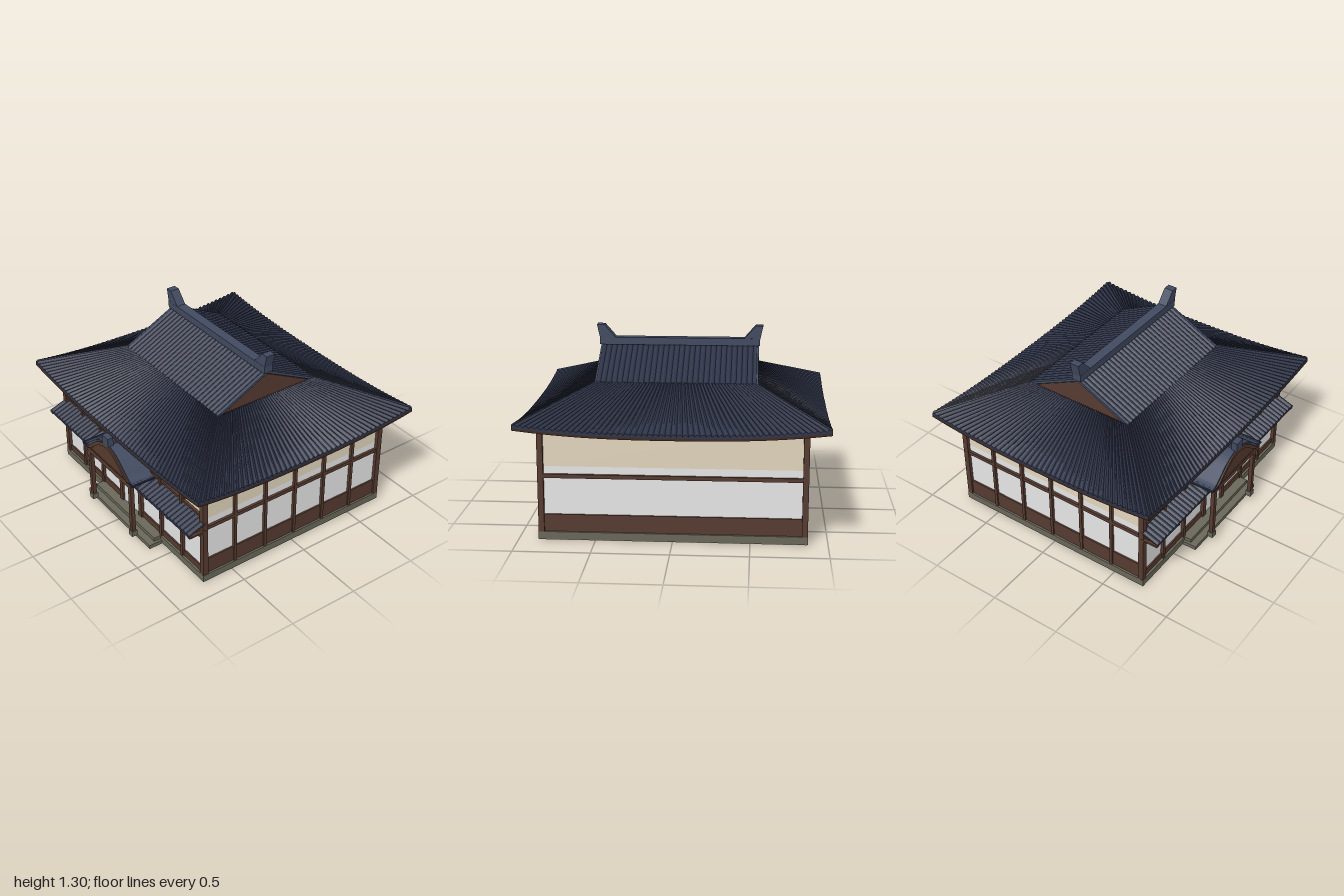
import * as THREE from 'three';

const mat = (name, color, extra = {}) => Object.assign(new THREE.MeshStandardMaterial({ color, ...extra }), { name });
const M = {
  tile: mat('roof tile', 0x2f3549, { flatShading: true, side: THREE.DoubleSide }),
  ridge: mat('ridge tile', 0x414a60),
  wood: mat('timber', 0x563b30),
  eave: mat('eave timber', 0x3e2822, { side: THREE.DoubleSide }),
  white: mat('white panel', 0xe8e8e8),
  cream: mat('cream plaster', 0xe2d6bd),
  stone: mat('stone', 0x6a685a),
};
const CZ = -0.02; // centre of the building in depth

export function createModel() {
  const root = new THREE.Group();
  root.name = 'hall';

  const add = (name, geo, material, parent = root) => {
    const m = new THREE.Mesh(geo, material);
    m.name = name;
    parent.add(m);
    return m;
  };
  // box given by its extents
  const box = (name, material, x0, x1, y0, y1, z0, z1, parent = root) => {
    const m = add(name, new THREE.BoxGeometry(x1 - x0, y1 - y0, z1 - z0), material, parent);
    m.position.set((x0 + x1) / 2, (y0 + y1) / 2, (z0 + z1) / 2);
    return m;
  };
  // surface f(u, t) with u across (-1..1) and t up the slope (0..1)
  const surface = (f, nu, nt) => {
    const pos = [], idx = [];
    for (let j = 0; j <= nt; j++) for (let i = 0; i <= nu; i++) pos.push(...f((2 * i) / nu - 1, j / nt));
    for (let j = 0; j < nt; j++) for (let i = 0; i < nu; i++) {
      const a = j * (nu + 1) + i, b = a + nu + 1;
      idx.push(a, a + 1, b, a + 1, b + 1, b);
    }
    const g = new THREE.BufferGeometry();
    g.setAttribute('position', new THREE.Float32BufferAttribute(pos, 3));
    g.setIndex(idx);
    g.computeVertexNormals();
    return g;
  };
  // ribbed tile surface, timber underside and eave edge
  const tiledSlope = (name, f, ribs, rib, thick, parent) => {
    const lift = (u) => rib * Math.abs(Math.sin(((u + 1) / 2) * ribs * Math.PI));
    const shift = (p, dy) => [p[0], p[1] + dy, p[2]];
    add(name + 'Tiles', surface((u, t) => shift(f(u, t), lift(u)), ribs * 6, 6), M.tile, parent);
    add(name + 'TileEnds', surface((u, t) => shift(f(u, 0), t * (lift(u) + 0.012) - 0.012), ribs * 6, 1), M.tile, parent);
    add(name + 'Underside', surface((u, t) => shift(f(u, t), -thick), 24, 6), M.eave, parent);
    add(name + 'Fascia', surface((u, t) => shift(f(u, 0), -thick + t * (thick - 0.01)), 24, 1), M.eave, parent);
  };
  const lerp = THREE.MathUtils.lerp;

  // Stone base and front steps
  box('basePlate', M.white, -0.865, 0.865, 0, 0.004, -0.765, 0.725);
  box('foundation', M.stone, -0.87, 0.87, 0.004, 0.055, -0.77, 0.73);
  box('lowerStep', M.stone, -0.39, 0.39, 0, 0.028, 0.73, 0.83);
  box('upperStep', M.stone, -0.37, 0.37, 0.028, 0.055, 0.73, 0.78);

  // Walls
  box('lowerWall', M.white, -0.845, 0.845, 0.055, 0.49, -0.745, 0.705);
  box('upperWall', M.cream, -0.845, 0.845, 0.49, 0.775, -0.745, 0.705);
  box('frontTransom', M.cream, -0.845, 0.845, 0.375, 0.49, 0.705, 0.708);

  // Skirting boards and rails on the sides and back
  for (const s of [-1, 1]) {
    const x = s * 0.85;
    box('sideSkirting', M.wood, x - 0.006, x + 0.006, 0.055, 0.17, -0.75, 0.71);
    box('sideRail', M.wood, x - 0.012, x + 0.012, 0.415, 0.441, -0.75, 0.71);
    for (let k = -2; k <= 2; k++) {
      const z = CZ + k * 0.245;
      box('sidePost', M.wood, x - 0.015, x + 0.015, 0.055, 0.78, z - 0.011, z + 0.011);
    }
    for (const z of [-0.75, 0.71])
      box('cornerPost', M.wood, x - 0.019, x + 0.019, 0.055, 0.79, z - 0.019, z + 0.019);
  }
  box('backSkirting', M.wood, -0.85, 0.85, 0.055, 0.17, -0.756, -0.744);
  box('backRail', M.wood, -0.85, 0.85, 0.415, 0.441, -0.762, -0.744);

  // Front framing
  for (const s of [-1, 1]) {
    const [a, b] = s < 0 ? [-0.85, -0.12] : [0.12, 0.85];
    box('frontSkirting', M.wood, a, b, 0.055, 0.1, 0.7, 0.715);
    box('frontRail', M.wood, a, b, 0.34, 0.375, 0.7, 0.72);
    for (const k of [0.5, 1.5, 2.5]) {
      const x = s * k * 0.246;
      box('frontPost', M.wood, x - 0.012, x + 0.012, 0.055, 0.78, 0.7, 0.726);
    }
    box('doorPost', M.wood, s * 0.117 - 0.017, s * 0.117 + 0.017, 0.055, 0.42, 0.7, 0.728);
  }
  box('frontHeadRail', M.wood, -0.85, 0.85, 0.41, 0.43, 0.7, 0.722);
  box('windowSill', M.wood, -0.85, 0.85, 0.51, 0.526, 0.7, 0.722);
  box('windowHead', M.wood, -0.85, 0.85, 0.68, 0.696, 0.7, 0.722);
  for (let i = -3; i <= 3; i++) for (const s of [-1, 1]) {
    const x = i * 0.246 + s * 0.104;
    box('windowStile', M.wood, x - 0.006, x + 0.006, 0.52, 0.69, 0.7, 0.714);
  }

  // Door
  box('door', M.white, -0.1, 0.1, 0.055, 0.295, 0.705, 0.712);
  box('doorLintel', M.wood, -0.11, 0.11, 0.295, 0.328, 0.7, 0.722);
  box('doorTransom', M.cream, -0.1, 0.1, 0.328, 0.41, 0.705, 0.711);

  // Pent roof across the front
  tiledSlope('pentRoof', (u, t) => [u * 0.87, lerp(0.438, 0.485, t), lerp(0.84, 0.71, t)], 46, 0.013, 0.012, root);
  for (let k = -3.5; k <= 3.5; k++)
    box('pentBracket', M.wood, k * 0.246 - 0.01, k * 0.246 + 0.01, 0.412, 0.424, 0.71, 0.835);

  // Main hipped skirt roof, one slope per side
  const roof = new THREE.Group();
  roof.name = 'mainRoof';
  roof.position.z = CZ;
  root.add(roof);
  for (let k = 0; k < 4; k++) {
    const slope = new THREE.Group();
    slope.name = ['front', 'left', 'back', 'right'][k] + 'Slope';
    slope.rotation.y = (k * Math.PI) / 2;
    roof.add(slope);
    const [E, T, D, Dt] = k % 2 ? [0.875, 0.395, 1, 0.535] : [1, 0.535, 0.875, 0.395];
    tiledSlope('skirt', (u, t) => [
      u * lerp(E, T, t),
      lerp(0.737 + 0.05 * Math.abs(u) ** 2.5, 0.965, t),
      lerp(D, Dt, t),
    ], k % 2 ? 46 : 54, 0.014, 0.027, slope);
    // Upper gabled roof on the front and back only
    if (k % 2 === 0) {
      tiledSlope('upper', (u, t) => [u * 0.535, lerp(0.965, 1.16, t), 0.395 * (1 - t)], 30, 0.012, 0.012, slope);
      for (const s of [-1, 1]) {
        const verge = add('verge', new THREE.BoxGeometry(0.012, 0.016, 0.44), M.ridge, slope);
        verge.position.set(s * 0.531, 1.062, 0.1975);
        verge.rotation.x = Math.atan2(0.195, 0.395);
      }
    }
  }

  // Gable walls
  const tri = new THREE.Shape([[-0.375, 0.955], [0.375, 0.955], [0, 1.14]].map((p) => new THREE.Vector2(...p)));
  for (const s of [-1, 1]) {
    const g = add('gableWall', new THREE.ExtrudeGeometry(tri, { depth: 0.03, bevelEnabled: false }), M.wood, roof);
    g.rotation.y = Math.PI / 2;
    g.position.x = s * 0.508 - 0.015;
  }

  // Ridge with upswept end tiles
  box('ridge', M.ridge, -0.545, 0.545, 1.16, 1.21, -0.034, 0.034, roof);
  for (const s of [-1, 1]) {
    const pts = [[0.435, 1.205], [0.545, 1.205], [0.565, 1.297], [0.515, 1.297]].map(([x, y]) => new THREE.Vector2(s * x, y));
    const g = new THREE.ExtrudeGeometry(new THREE.Shape(pts), { depth: 0.066, bevelEnabled: false });
    add('ridgeEnd', g, M.ridge, roof).position.z = -0.033;
  }

  // Entrance porch
  const porch = new THREE.Group();
  porch.name = 'porch';
  root.add(porch);
  for (const s of [-1, 1]) {
    const x = s * 0.252;
    box('porchPostBase', M.stone, x - 0.022, x + 0.022, 0.055, 0.095, 0.848, 0.89, porch);
    box('porchPost', M.wood, x - 0.015, x + 0.015, 0.095, 0.49, 0.856, 0.884, porch);
    box('porchSideBeam', M.wood, x - 0.012, x + 0.012, 0.487, 0.5, 0.71, 0.87, porch);
  }
  box('porchBeam', M.wood, -0.27, 0.27, 0.45, 0.487, 0.858, 0.886, porch);
  box('porchCeiling', M.wood, -0.29, 0.29, 0.49, 0.505, 0.71, 0.888, porch);

  // Curved porch roof: bell-shaped outline, optionally scaled about its base
  const bell = (w, h, base) => {
    const half = [[1, 0], [0.84, 0.1], [0.66, 0.4], [0.42, 0.76], [0.2, 0.95]];
    const p = [...half.map(([x, y]) => [-x, y]), [0, 1], ...half.reverse()]
      .map(([x, y]) => new THREE.Vector2(x * w, base + y * h));
    return new THREE.SplineCurve(p).getPoints(40);
  };
  const extrude = (name, pts, material, z, depth, hole) => {
    const shape = new THREE.Shape(pts);
    if (hole) shape.holes.push(new THREE.Path(hole));
    add(name, new THREE.ExtrudeGeometry(shape, { depth, bevelEnabled: false }), material, porch).position.z = z;
  };
  extrude('porchRoof', bell(0.31, 0.157, 0.505), M.ridge, 0.7, 0.187);
  extrude('porchGable', bell(0.275, 0.145, 0.503), M.wood, 0.885, 0.006);
  extrude('porchBargeboard', bell(0.285, 0.152, 0.502), M.wood, 0.885, 0.012, bell(0.24, 0.122, 0.506).reverse());
  box('porchRidge', M.ridge, -0.025, 0.025, 0.655, 0.68, 0.7, 0.87, porch);
  box('porchRidgeEnd', M.ridge, -0.036, 0.036, 0.655, 0.722, 0.858, 0.9, porch);
  for (const s of [-1, 1]) for (let i = 0; i < 5; i++) {
    const c = add('porchTileEnd', new THREE.CylinderGeometry(0.008, 0.008, 0.18, 8), M.tile, porch);
    c.rotation.x = Math.PI / 2;
    c.position.set(s * (0.24 + i * 0.017), 0.502, 0.807);
  }
  return root;
}
